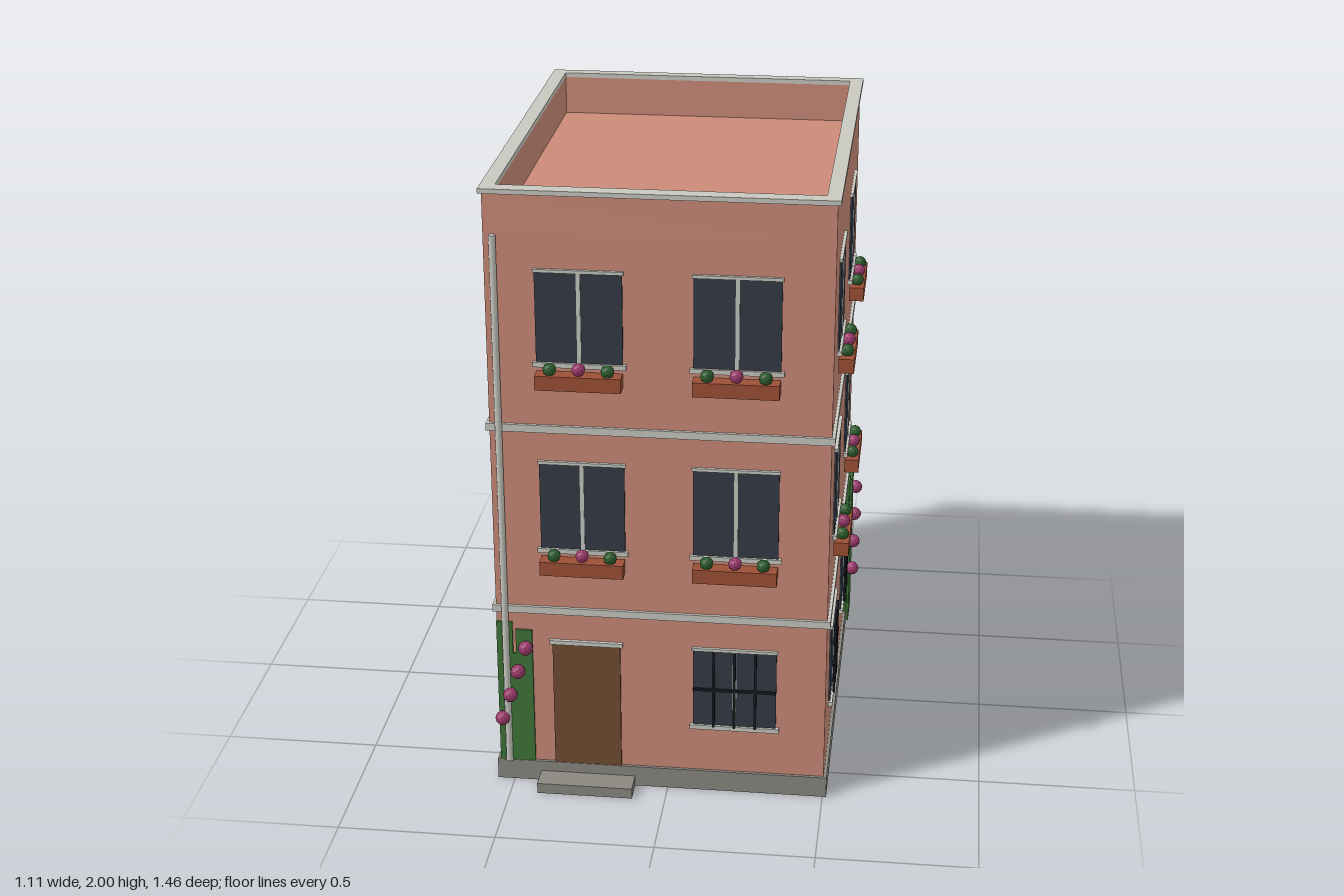
import * as THREE from 'three';

const mat = (name, color) => {
  const m = new THREE.MeshStandardMaterial({ color });
  m.name = name;
  return m;
};

export function createModel() {
  const wall = mat('terracotta plaster', 0xcb8a78);
  const trim = mat('pale trim', 0xc8c8c0);
  const stone = mat('grey stone', 0x8a8780);
  const glass = mat('dark glass', 0x343a46);
  const iron = mat('black iron', 0x171b22);
  const ivyGreen = mat('ivy green', 0x3d7538);
  const leafGreen = mat('leaf green', 0x2b5c2c);
  const pink = mat('flower pink', 0x9c3a6c);
  const wood = mat('door brown', 0x704c32);
  const clay = mat('planter clay', 0x9c5036);
  leafGreen.flatShading = pink.flatShading = true;

  const model = new THREE.Group();
  model.name = 'townhouse';

  // Box given by its minimum and maximum corners
  const box = (parent, name, m, x0, x1, y0, y1, z0, z1) => {
    const mesh = new THREE.Mesh(new THREE.BoxGeometry(x1 - x0, y1 - y0, z1 - z0), m);
    mesh.position.set((x0 + x1) / 2, (y0 + y1) / 2, (z0 + z1) / 2);
    mesh.name = name;
    parent.add(mesh);
    return mesh;
  };

  // Rectangular ring around the roof opening
  const ring = (name, m, x0, x1, z0, z1, y0, y1) => {
    const rect = (path, a, b, c, d) =>
      path.moveTo(a, -d).lineTo(b, -d).lineTo(b, -c).lineTo(a, -c).closePath();
    const shape = rect(new THREE.Shape(), x0, x1, z0, z1);
    shape.holes.push(rect(new THREE.Path(), -0.51, 0.468, -0.688, 0.601));
    const g = new THREE.ExtrudeGeometry(shape, { depth: y1 - y0, bevelEnabled: false });
    g.rotateX(-Math.PI / 2);
    const mesh = new THREE.Mesh(g, m);
    mesh.position.y = y0;
    mesh.name = name;
    model.add(mesh);
  };

  // Masses: plinth, body, parapet, cap and floor bands
  box(model, 'plinth', stone, -0.555, 0.512, 0, 0.07, -0.728, 0.65);
  box(model, 'body', wall, -0.545, 0.502, 0.07, 1.86, -0.718, 0.64);
  ring('parapet', wall, -0.545, 0.502, -0.718, 0.64, 1.86, 1.985);
  ring('parapetCap', trim, -0.555, 0.512, -0.728, 0.65, 1.985, 2);
  for (const y of [0.608, 1.23]) {
    box(model, 'floorBand', trim, -0.555, 0.512, y, y + 0.024, -0.728, 0.65);
  }

  // Facade groups: local +z points out of the wall, z = 0 on its surface
  const facade = (name, x, z, turn) => {
    const g = new THREE.Group();
    g.name = name;
    g.position.set(x, 0, z);
    g.rotation.y = turn;
    model.add(g);
    return g;
  };
  const front = facade('frontFacade', 0, 0.64, 0);
  const right = facade('sideFacade', 0.502, 0, Math.PI / 2);
  const back = facade('backFacade', 0, -0.718, Math.PI);

  // Flower or leaf tuft
  const tuftShape = new THREE.IcosahedronGeometry(1, 1);
  const tuft = (parent, name, m, x, y, z, r) => {
    const mesh = new THREE.Mesh(tuftShape, m);
    mesh.position.set(x, y, z);
    mesh.scale.setScalar(r);
    mesh.name = name;
    parent.add(mesh);
  };

  // Window with glass, mullion, lintel and sill
  const windowUnit = (parent, x, y0, y1, w) => {
    const g = new THREE.Group();
    g.name = 'window';
    g.position.x = x;
    parent.add(g);
    const h = w / 2;
    box(g, 'glass', glass, -h, h, y0, y1, 0, 0.006);
    box(g, 'mullion', trim, -0.006, 0.006, y0, y1, 0.004, 0.009);
    box(g, 'lintel', trim, -h - 0.004, h + 0.004, y1, y1 + 0.01, 0, 0.01);
    box(g, 'sill', trim, -h - 0.01, h + 0.01, y0 - 0.012, y0 + 0.003, 0, 0.014);
    return g;
  };

  // Window with a planter of leaves and flowers
  const planterWindow = (parent, x, floor) => {
    const g = windowUnit(parent, x, floor + 0.072, floor + 0.36, 0.264);
    box(g, 'planter', clay, -0.131, 0.131, floor, floor + 0.046, 0.004, 0.052);
    for (const s of [-1, 1]) tuft(g, 'leaves', leafGreen, s * 0.088, floor + 0.06, 0.029, 0.021);
    tuft(g, 'flower', pink, 0, floor + 0.063, 0.029, 0.021);
  };

  // Ground-floor window with iron bars
  const barredWindow = (parent, x) => {
    const g = windowUnit(parent, x, 0.237, 0.505, 0.264);
    for (const dx of [-0.066, 0, 0.066]) {
      box(g, 'bar', iron, dx - 0.004, dx + 0.004, 0.237, 0.505, 0.01, 0.018);
    }
    box(g, 'crossBar', iron, -0.132, 0.132, 0.367, 0.375, 0.01, 0.018);
  };

  for (const floor of [0.765, 1.387]) {
    for (const x of [-0.262, 0.214]) planterWindow(front, x, floor);
    for (const x of [-0.32, 0.325]) planterWindow(right, x, floor);
    windowUnit(back, 0.021, floor + 0.07, floor + 0.335, 0.25);
  }
  barredWindow(front, 0.214);
  for (const x of [-0.32, 0.325]) barredWindow(right, x);

  // Door and step
  box(front, 'door', wood, -0.366, -0.15, 0.07, 0.505, 0, 0.008);
  box(front, 'doorLintel', trim, -0.375, -0.142, 0.502, 0.516, 0, 0.012);
  box(front, 'doorStep', stone, -0.413, -0.106, 0, 0.035, 0, 0.09);

  // Drainpipe
  const pipe = new THREE.Mesh(new THREE.CylinderGeometry(0.011, 0.011, 1.79, 12), trim);
  pipe.position.set(-0.515, 0.965, 0.012);
  pipe.name = 'drainpipe';
  front.add(pipe);

  // Climbing ivy on the front corner
  box(front, 'ivy', ivyGreen, -0.545, -0.494, 0.07, 0.572, 0, 0.008);
  box(front, 'ivy', ivyGreen, -0.494, -0.484, 0.07, 0.46, 0, 0.008);
  box(front, 'ivy', ivyGreen, -0.484, -0.431, 0.07, 0.546, 0, 0.008);

  // Climbing ivy on the rear side corner
  box(right, 'ivy', ivyGreen, 0.5, 0.6, 0.07, 0.572, 0, 0.012);
  box(right, 'ivy', ivyGreen, 0.565, 0.718, 0, 0.46, 0, 0.018);
  box(right, 'ivy', ivyGreen, 0.62, 0.718, 0.46, 0.546, 0, 0.018);

  // Blossoms rising diagonally over the ivy
  for (let i = 0; i < 4; i++) {
    const y = 0.232 + i * 0.086;
    tuft(front, 'blossom', pink, -0.531 + i * 0.027, y, 0.024, 0.024);
    tuft(right, 'blossom', pink, 0.533 + i * 0.049, y, 0.028, 0.024);
  }

  return model;
}
